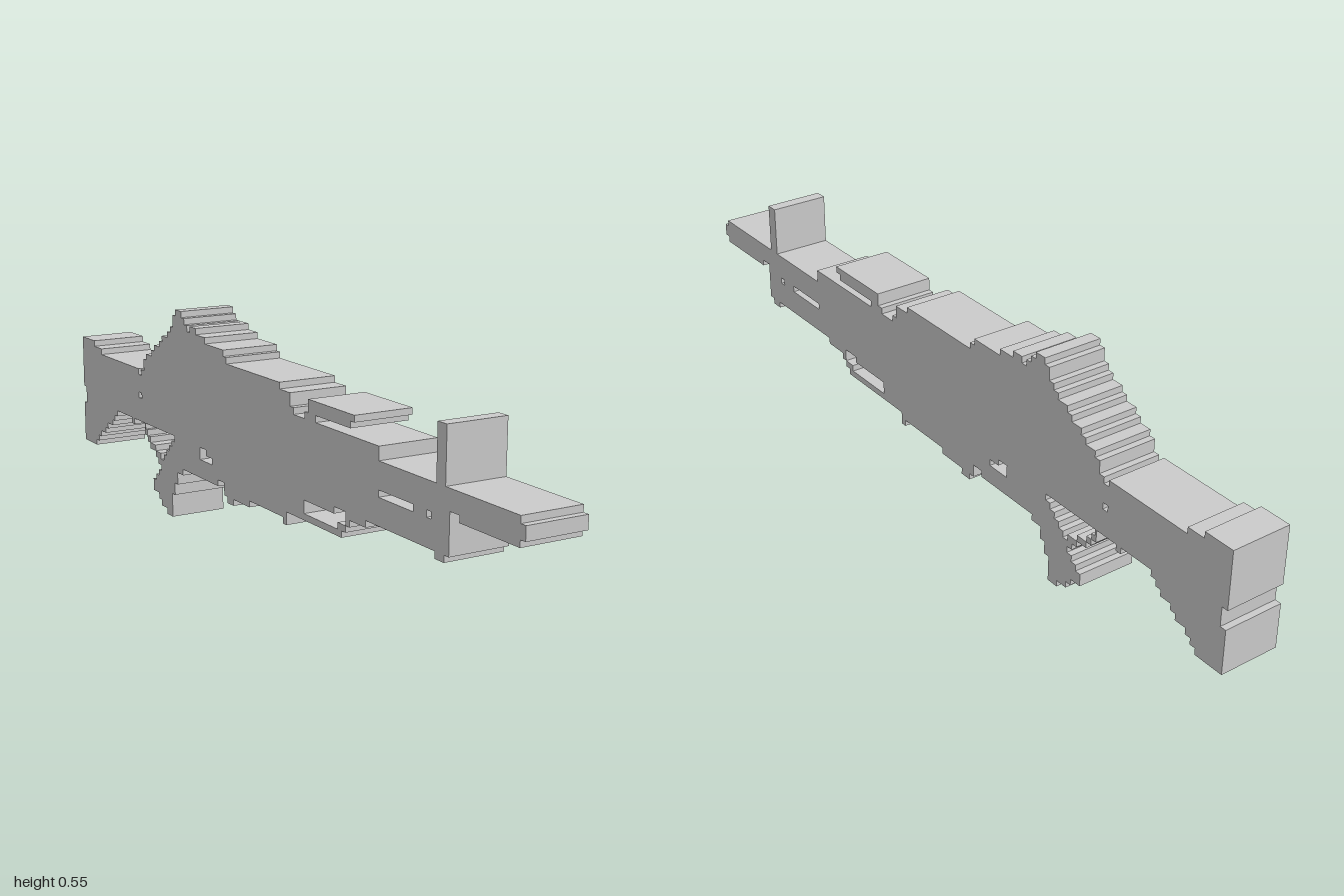
import * as THREE from 'three';

const CELL = 2 / 127;   // size of one grid step
const WIDTH = 0.15;     // thickness across x

// Stepped outline: each [start, height] holds until the next start; measured in cells from the front tip.
function steppedPoints(top, bottom, end) {
  const edge = (steps) => steps.flatMap(([u, v], i) => {
    const next = i + 1 < steps.length ? steps[i + 1][0] : end;
    return [[u, v], [next, v]];
  });
  return [...edge(bottom), ...edge(top).reverse()]
    .map(([u, v]) => new THREE.Vector2(u * CELL - 1, v * CELL));
}

export function createModel() {
  const model = new THREE.Group();
  const material = new THREE.MeshStandardMaterial({ color: 0xcccccc, flatShading: true });

  function addPart(name, top, bottom, end, holes = []) {
    const shape = new THREE.Shape(steppedPoints(top, bottom, end));
    for (const hole of holes) shape.holes.push(new THREE.Path(steppedPoints(...hole)));
    const geometry = new THREE.ExtrudeGeometry(shape, { depth: WIDTH, bevelEnabled: false });
    geometry.translate(0, 0, -WIDTH / 2).rotateY(Math.PI / 2);
    const mesh = new THREE.Mesh(geometry, material);
    mesh.name = name;
    model.add(mesh);
  }

  addPart('barrel', [[0, 22], [1, 23]], [[0, 20], [1, 19], [13, 20]], 15);

  addPart('frontSight', [[16, 31]], [[16, 23]], 18);

  // Body with its raised, stepped back and the openings below
  addPart('body',
    [[15, 23], [31, 25], [53, 26], [54, 28], [57, 29], [73, 30], [74, 31], [80, 32], [83, 33],
      [85, 32], [86, 33], [87, 34], [88, 35], [90, 34], [91, 32], [92, 31], [93, 30], [95, 29],
      [96, 28], [98, 27], [99, 26], [101, 25]],
    [[15, 14], [16, 13], [18, 14], [34, 13], [38, 12], [39, 11], [40, 10], [55, 8], [56, 9],
      [66, 8], [71, 7], [73, 8], [74, 10], [76, 9], [95, 8], [97, 9], [98, 10], [100, 11], [101, 12]],
    102,
    [
      [[[19, 19]], [[19, 18]], 20],                        // pin hole
      [[[23, 19]], [[23, 18]], 31],                        // long slot
      [[[39, 14], [42, 13]], [[39, 12], [41, 11]], 50],    // lower opening
      [[[78, 13], [80, 14]], [[78, 12]], 82],              // small opening
      [[[91, 14]], [[91, 13], [92, 12], [93, 11], [94, 10], [95, 9], [96, 10], [98, 11],
        [100, 12], [101, 13]], 102 - 0.3],                 // opening behind the grip
    ]);

  addPart('topRail', [[37, 28], [49, 26]], [[37, 27], [38, 26], [47, 25]], 50);

  addPart('grip',
    [[88, 9], [95, 8], [96, 7], [97, 6], [98, 5]],
    [[88, 8], [90, 6], [91, 4], [92, 0], [94, 1], [96, 2], [97, 3]], 99);

  // Stock, with a shallow notch in its end face
  addPart('stock',
    [[102, 23], [103, 22], [104, 23], [119, 24], [122, 25]],
    [[102, 14], [106, 13], [107, 14], [113, 13], [114, 12], [115, 11], [117, 10], [118, 9],
      [120, 8], [121, 7], [122, 6]], 126,
    [[[[103, 19]], [[103, 18]], 104]]);
  addPart('stockEndUpper', [[126, 25]], [[126, 16]], 127);
  addPart('stockEndLower', [[126, 13]], [[126, 6]], 127);

  return model;
}
